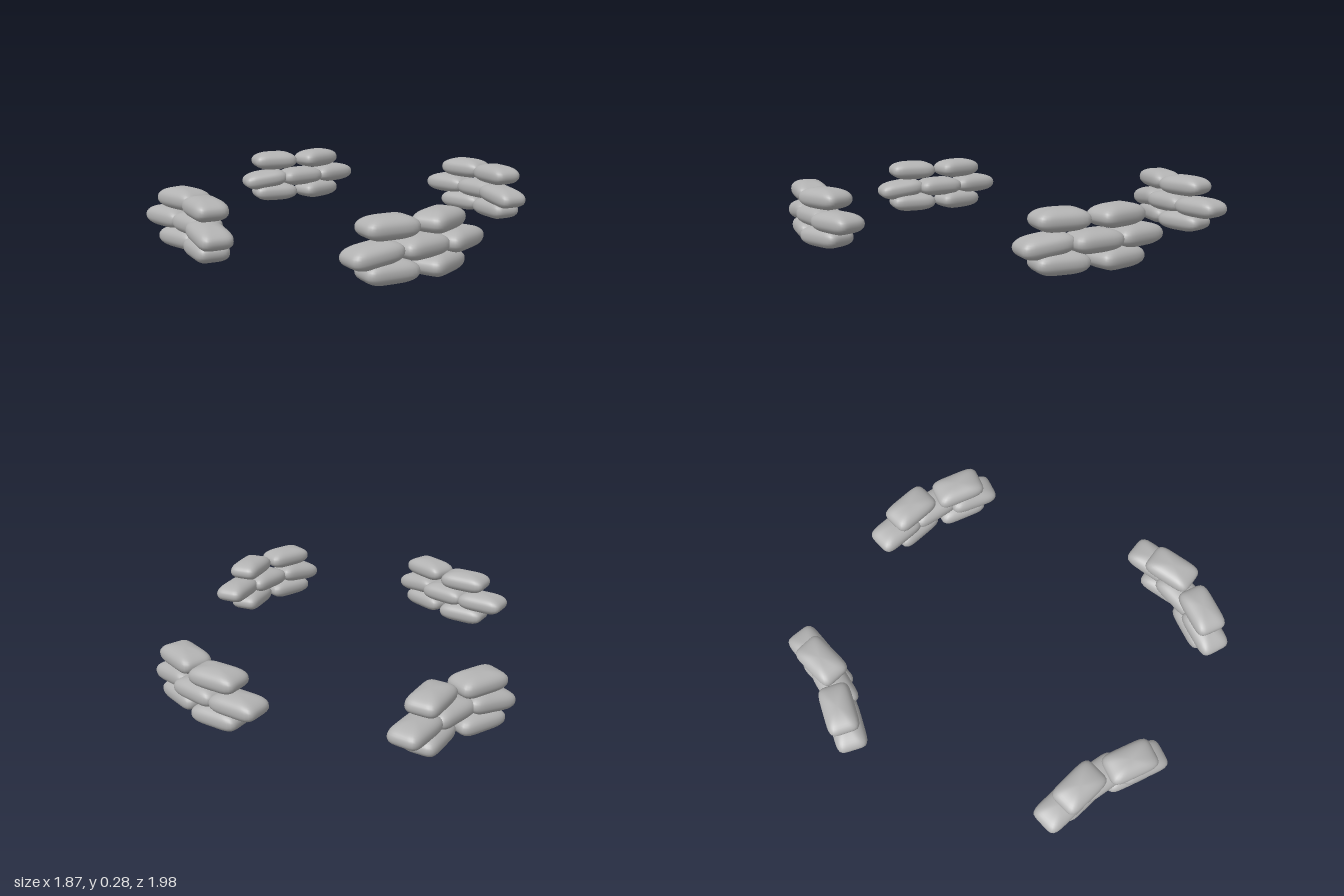
import * as THREE from 'three';
import { mergeVertices } from 'three/addons/utils/BufferGeometryUtils.js';

// Pillow: rounded-rectangle plan, near-elliptical in elevation
function bagGeometry(length, height, width) {
  let geo = new THREE.SphereGeometry(1, 48, 20);
  geo.deleteAttribute('uv');
  geo.deleteAttribute('normal');
  geo = mergeVertices(geo, 1e-4);
  const p = geo.attributes.position, plan = 5.5, side = 2 / 2.3;
  for (let i = 0; i < p.count; i++) {
    const x = p.getX(i), y = p.getY(i), z = p.getZ(i);
    const r = Math.hypot(x, z);
    let px = 0, pz = 0;
    if (r > 1e-5) {
      const c = x / r, s = z / r;
      const k = Math.pow(r, side) / Math.pow(Math.abs(c) ** plan + Math.abs(s) ** plan, 1 / plan);
      px = c * k;
      pz = s * k;
    }
    const py = Math.sign(y) * Math.pow(Math.abs(y), side);
    p.setXYZ(i, px * length / 2, py * height / 2, pz * width / 2);
  }
  geo.computeVertexNormals();
  return geo;
}

// Each wall: outer rows of two bags, middle row of three; bags are [x, z, yaw in degrees]
const sideRows = {
  pair: [[-0.17, -0.012, 5], [0.098, 0.003, -14]],
  trio: [[-0.235, -0.025, 4], [-0.02, 0.013, -5], [0.205, -0.017, -13]],
};
const walls = [
  { name: 'frontWall', at: [-0.22, 0.87], turn: 0,
    pair: [[-0.16, 0.015, 5], [0.10, 0.01, -24]],
    trio: [[-0.23, 0.01, 2], [0, 0.015, -10], [0.215, -0.01, -22]] },
  { name: 'backWall', at: [0.22, -0.87], turn: 0,
    pair: [[-0.16, -0.025, 11], [0.10, 0.01, -15]],
    trio: [[-0.22, -0.03, 12], [-0.01, 0.01, -3], [0.21, -0.005, -11]] },
  { name: 'leftWall', at: [0.833, 0], turn: Math.PI / 2, ...sideRows },
  { name: 'rightWall', at: [-0.833, 0], turn: Math.PI / 2, ...sideRows },
];

export function createModel() {
  const model = new THREE.Group();
  model.name = 'sandbagWalls';
  const canvas = new THREE.MeshStandardMaterial({ color: 0xb2b2b2 });
  canvas.name = 'grey canvas';
  const geo = bagGeometry(0.248, 0.104, 0.156);

  for (const wall of walls) {
    const group = new THREE.Group();
    group.name = wall.name;
    group.position.set(wall.at[0], 0, wall.at[1]);
    group.rotation.y = wall.turn;
    const rows = [
      ['bottomBag', wall.pair, 0.052],
      ['middleBag', wall.trio, 0.135],
      ['topBag', wall.pair, 0.233],
    ];
    for (const [name, bags, y] of rows) {
      bags.forEach(([x, z, yaw], i) => {
        const bag = new THREE.Mesh(geo, canvas);
        bag.name = name + (i + 1);
        bag.position.set(x, y, z);
        bag.rotation.order = 'YXZ';
        bag.rotation.y = -THREE.MathUtils.degToRad(yaw);
        // The first middle bag sags at its outer end
        if (name === 'middleBag' && i === 0) {
          bag.rotation.z = 0.12;
          bag.position.y -= 0.007;
        }
        group.add(bag);
      });
    }
    model.add(group);
  }
  return model;
}
